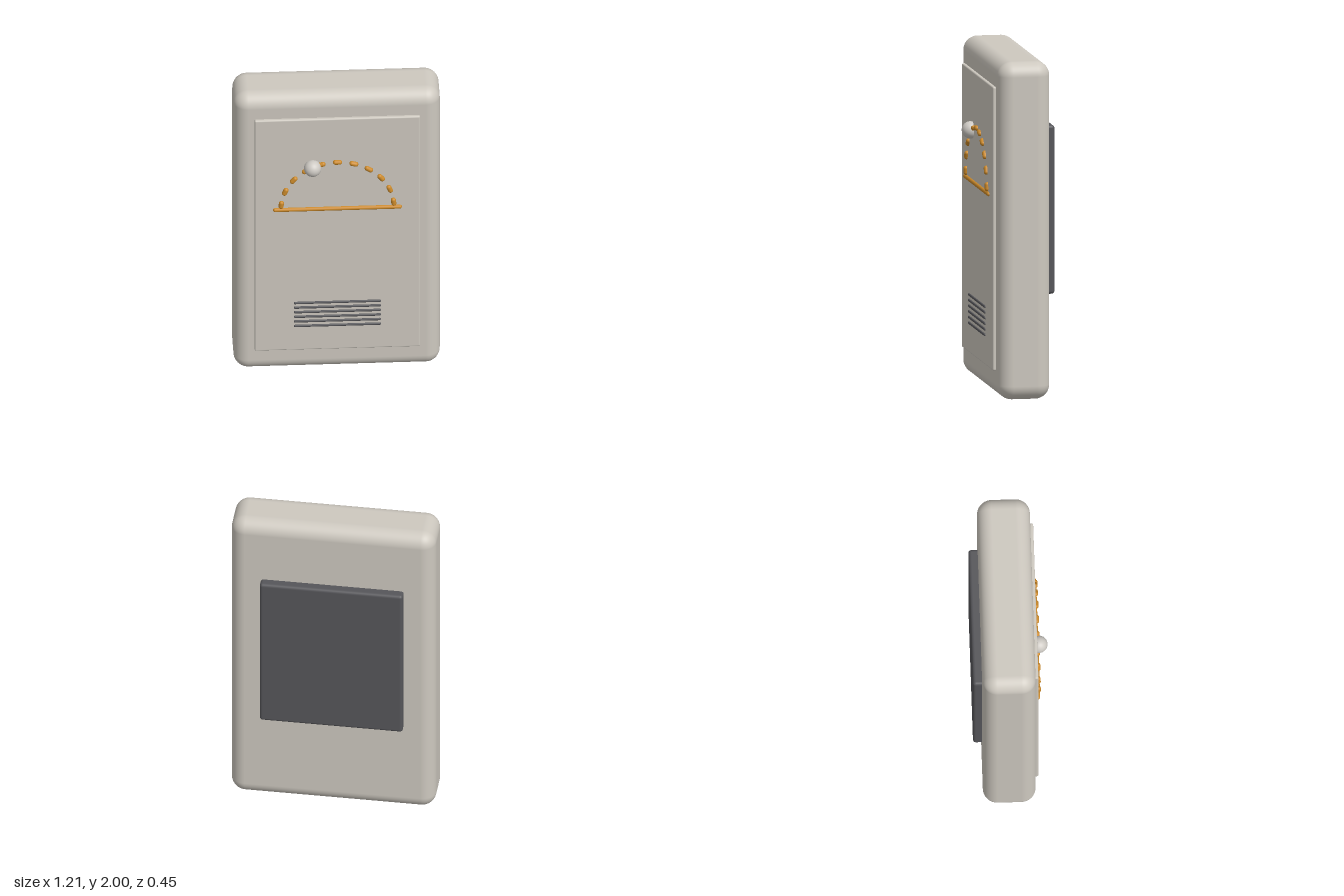
import * as THREE from 'three';
import { RoundedBoxGeometry } from 'three/addons/geometries/RoundedBoxGeometry.js';

const material = (name, color) => {
  const m = new THREE.MeshStandardMaterial({ color });
  m.name = name;
  return m;
};

export function createModel() {
  const shell = material('warmGrey', 0xcdc8bf);
  const dark = material('darkGrey', 0x56565a);
  const amber = material('amber', 0xcc8a2a);
  const pale = material('paleGrey', 0xcecac4);

  const model = new THREE.Group();
  model.name = 'wallUnit';

  const add = (parent, name, geometry, mat, x, y, z) => {
    const mesh = new THREE.Mesh(geometry, mat);
    mesh.name = name;
    mesh.position.set(x, y, z);
    parent.add(mesh);
    return mesh;
  };
  const group = (name) => {
    const g = new THREE.Group();
    g.name = name;
    model.add(g);
    return g;
  };

  // Housing, raised front panel and rear mounting plate
  add(model, 'housing', new RoundedBoxGeometry(1.21, 2, 0.31, 6, 0.085), shell, 0, 1, -0.016);
  add(model, 'frontPanel', new RoundedBoxGeometry(0.97, 1.68, 0.04, 3, 0.009), shell, 0, 1.005, 0.137);
  add(model, 'backPlate', new RoundedBoxGeometry(0.846, 1, 0.08, 4, 0.018), dark, 0, 1.1, -0.185);

  // Dashed arc over a horizon bar
  const arc = group('dashedArc');
  const dash = new THREE.CapsuleGeometry(0.015, 0.024, 6, 14);
  for (let i = 0; i < 11; i++) {
    const a = THREE.MathUtils.degToRad(5.5 + i * 16.9);
    add(arc, 'arcDash', dash, amber, 0.331 * Math.cos(a), 1.201 + 0.331 * Math.sin(a), 0.161)
      .rotation.z = a;
  }
  add(model, 'horizonBar', new THREE.CapsuleGeometry(0.013, 0.73, 6, 14), amber, 0, 1.194, 0.158)
    .rotation.z = Math.PI / 2;

  // Ball riding on the arc
  add(model, 'arcBall', new THREE.SphereGeometry(0.051, 32, 20), pale, -0.146, 1.5, 0.17);

  // Speaker grille
  const grille = group('grille');
  const slat = new RoundedBoxGeometry(0.51, 0.015, 0.016, 3, 0.006);
  for (let i = 0; i < 6; i++) add(grille, 'grilleSlat', slat, dark, 0, 0.343 + i * 0.0335, 0.157);

  return model;
}
